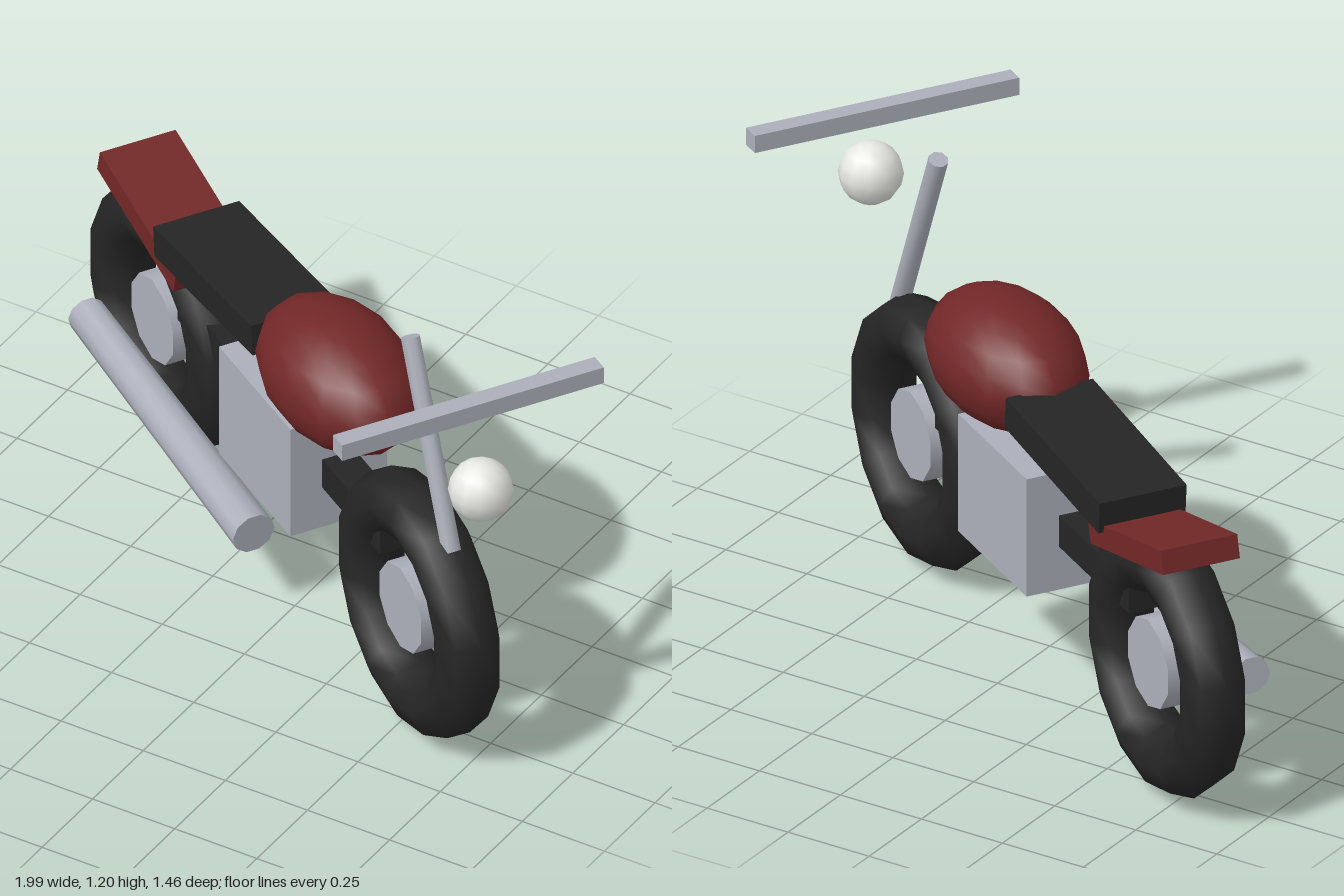
import * as THREE from 'three';
import { toCreasedNormals } from 'three/addons/utils/BufferGeometryUtils.js';

const mat = (name, color) => {
  const m = new THREE.MeshStandardMaterial({ color });
  m.name = name;
  return m;
};

export function createModel() {
  const red = mat('dark red paint', 0x722727);
  const black = mat('black', 0x252525);
  const metal = mat('grey metal', 0xacafba);
  const lamp = mat('lamp white', 0xeaeae6);

  // The bike is built along +x and then turned as a whole
  const bike = new THREE.Group();
  bike.name = 'motorcycle';

  const add = (name, geometry, material, x, y, z = 0, tilt = 0) => {
    const mesh = new THREE.Mesh(geometry, material);
    mesh.name = name;
    mesh.position.set(x, y, z);
    mesh.rotation.z = tilt;
    bike.add(mesh);
    return mesh;
  };
  const box = (l, h, w) => new THREE.BoxGeometry(l, h, w);
  const rod = (rTop, rBottom, length, sides) =>
    toCreasedNormals(new THREE.CylinderGeometry(rTop, rBottom, length, sides), 0.9);

  // Wheels with hubs
  for (const [side, x] of [['front', 0.712], ['rear', -0.712]]) {
    add(side + 'Tyre', new THREE.TorusGeometry(0.28, 0.09, 8, 14), black, x, 0.374, 0, Math.PI / 2);
    const hub = rod(0.125, 0.125, 0.11, 10).rotateX(Math.PI / 2);
    add(side + 'Hub', hub, metal, x, 0.374);
  }

  // Frame bar and engine block
  add('frame', box(1.16, 0.09, 0.095), black, 0, 0.5);
  add('engine', box(0.41, 0.342, 0.28), metal, 0.044, 0.5);

  // Fuel tank, seat and tail
  add('fuelTank', new THREE.SphereGeometry(1, 14, 10).scale(0.3, 0.171, 0.19), red, 0.25, 0.805);
  add('seat', box(0.565, 0.09, 0.25), black, -0.283, 0.765, 0, 0.083);
  add('tailFender', box(0.45, 0.065, 0.22), red, -0.693, 0.715, 0, -0.25);

  // Fork, leaning back from the front tyre
  const low = new THREE.Vector2(0.93, 0.58), high = new THREE.Vector2(0.66, 1.19);
  const lean = Math.atan2(low.x - high.x, high.y - low.y);
  add('fork', rod(0.027, 0.027, low.distanceTo(high), 8), metal,
    (low.x + high.x) / 2, (low.y + high.y) / 2, 0, lean);

  // Handlebar and headlight
  add('handlebar', box(0.052, 0.05, 0.76), metal, 0.994, 1.175);
  add('headlight', new THREE.SphereGeometry(0.086, 12, 8), lamp, 1.065, 0.964);

  // Exhaust on one side, wider at the front end
  const pipe = rod(0.06, 0.052, 0.965, 10).rotateZ(-Math.PI / 2);
  add('exhaust', pipe, metal, -0.363, 0.306, 0.18, -0.083);

  bike.rotation.y = -0.55;
  bike.position.set(-0.075, 0, -0.123);

  const model = new THREE.Group();
  model.name = 'motorcycleModel';
  model.add(bike);
  return model;
}
